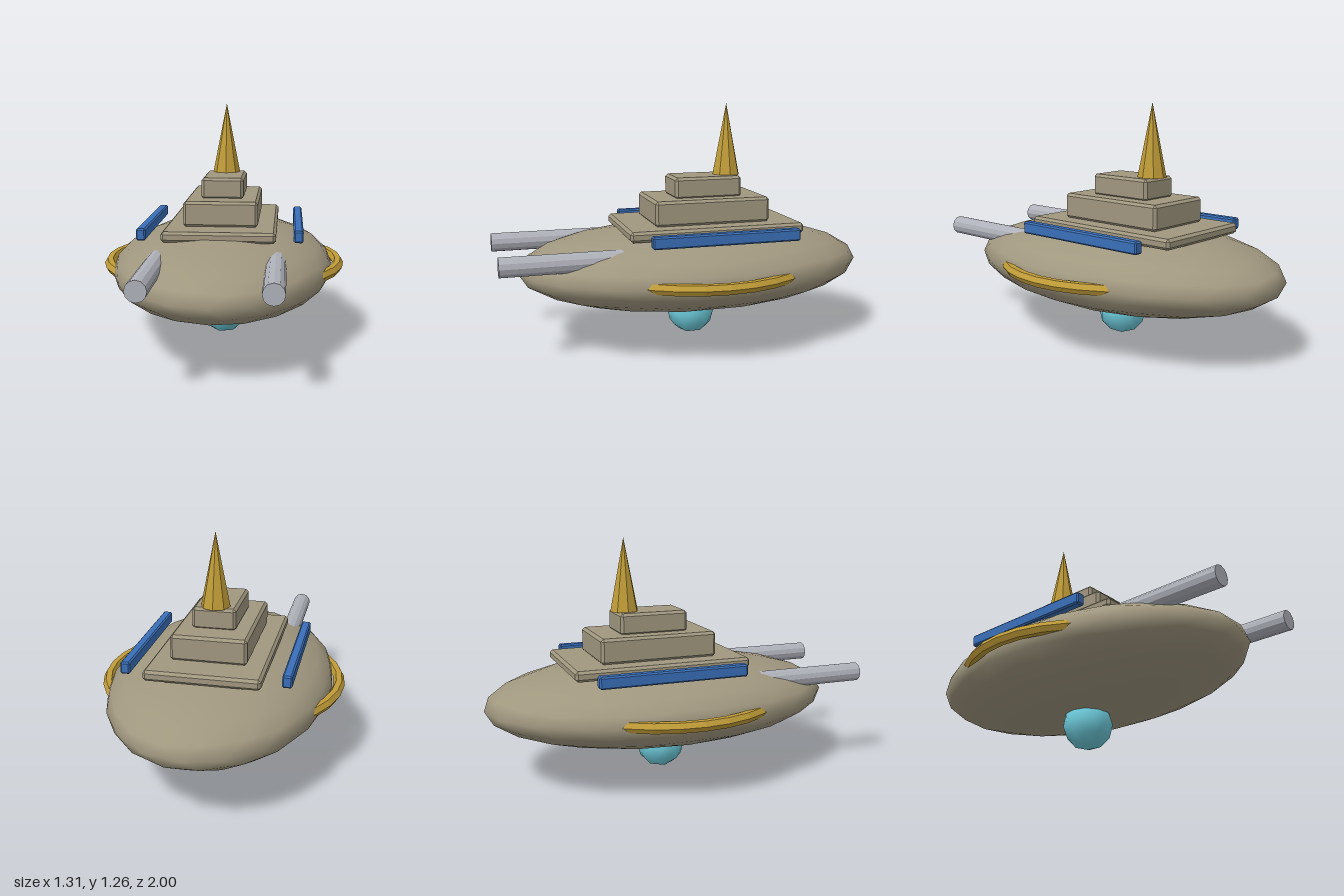
import * as THREE from 'three';
import { ConvexGeometry } from 'three/addons/geometries/ConvexGeometry.js';

const paint = (name, color, flatShading = false) => {
  const m = new THREE.MeshStandardMaterial({ color });
  m.name = name;
  m.flatShading = flatShading;
  return m;
};

// Box with every edge cut by a flat bevel
function bevelBox(w, h, d, b) {
  const points = [];
  for (const x of [-1, 1]) for (const y of [-1, 1]) for (const z of [-1, 1]) {
    const X = w / 2, Y = h / 2, Z = d / 2, i = b;
    points.push(
      new THREE.Vector3(x * X, y * (Y - i), z * (Z - i)),
      new THREE.Vector3(x * (X - i), y * Y, z * (Z - i)),
      new THREE.Vector3(x * (X - i), y * (Y - i), z * Z));
  }
  return new ConvexGeometry(points);
}

// Icosphere with a corner at the top, smooth normals; each level halves the edges
function icosphere(levels) {
  let geo = new THREE.IcosahedronGeometry(1, 1);
  for (let l = 1; l < levels; l++) {
    const p = Array.from(geo.attributes.position.array);
    geo = new THREE.PolyhedronGeometry(p, p.slice(0, p.length / 3).map((_, i) => i), 1, 1);
  }
  return geo.rotateZ(-Math.atan(2 / (1 + Math.sqrt(5))));
}

export function createModel() {
  const model = new THREE.Group();
  model.name = 'airship';
  const hullPaint = paint('stone hull', 0xa0977f);
  const gold = paint('gold', 0xc09c38, true);
  const blue = paint('blue', 0x3a6fb8);
  const steel = paint('steel', 0xafb1ba, true);
  const cyan = paint('cyan', 0x6cc8d8);

  const add = (name, geo, mat, x, y, z) => {
    const mesh = new THREE.Mesh(geo, mat);
    mesh.name = name;
    mesh.position.set(x, y, z);
    model.add(mesh);
    return mesh;
  };

  // Flattened hull and the ball beneath it
  add('hull', icosphere(2).scale(0.59, 0.223, 0.945), hullPaint, 0, 0.404, -0.055);
  add('bellyBall', icosphere(1).scale(0.13, 0.13, 0.13), cyan, 0, 0.13, -0.05);

  // Round belt, showing only where it passes outside the hull
  add('sideBelt', new THREE.TorusGeometry(0.625, 0.03, 6, 32).rotateX(Math.PI / 2), gold, 0, 0.411, -0.055);

  // Stepped deck: half width, bottom, top, front, back
  const tiers = [
    ['lowerDeck', 0.292, 0.585, 0.64, 0.35, -0.592],
    ['middleDeck', 0.195, 0.638, 0.772, 0.195, -0.432],
    ['upperDeck', 0.112, 0.765, 0.88, 0.065, -0.302],
  ];
  for (const [name, hw, y0, y1, z0, z1] of tiers) {
    add(name, bevelBox(hw * 2, y1 - y0, z0 - z1, 0.014), hullPaint, 0, (y0 + y1) / 2, (z0 + z1) / 2);
  }

  // Spire
  add('spire', new THREE.ConeGeometry(0.076, 0.385, 8), gold, 0, 1.07, -0.25);

  // Paired rails and gun barrels
  for (const [side, s] of [['left', 1], ['right', -1]]) {
    add(side + 'Rail', bevelBox(0.05, 0.063, 0.78, 0.008), blue, s * 0.406, 0.608, -0.12);
    add(side + 'Barrel', new THREE.CylinderGeometry(0.051, 0.051, 0.7, 12).rotateX(Math.PI / 2),
      steel, s * 0.295, 0.51, 0.65);
  }
  return model;
}
